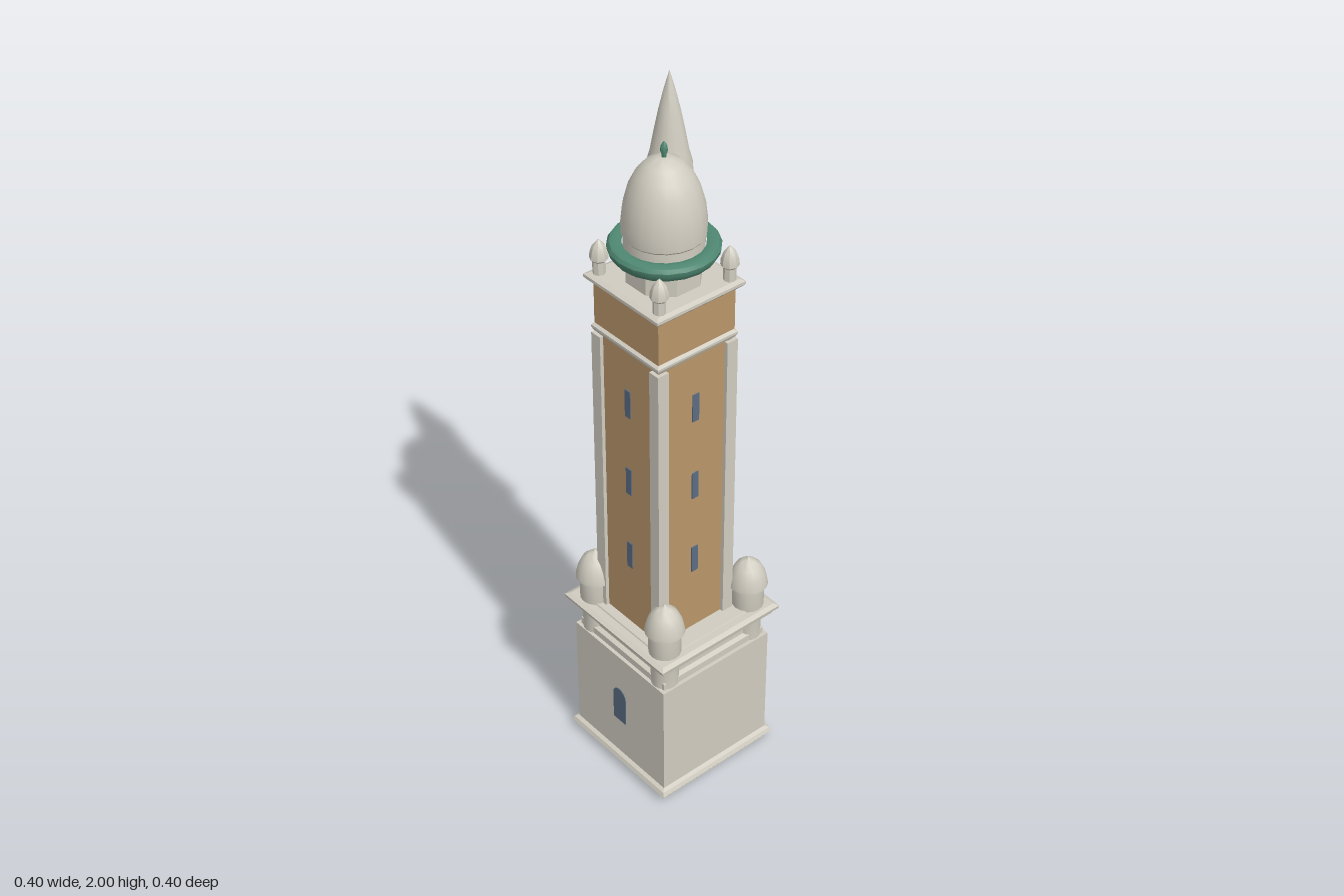
import * as THREE from 'three';
import { toCreasedNormals } from 'three/addons/utils/BufferGeometryUtils.js';

const mat = (name, color) => {
  const m = new THREE.MeshStandardMaterial({ color });
  m.name = name;
  return m;
};

export function createModel() {
  const stone = mat('pale stone', 0xd0ccc0);
  const ochre = mat('ochre brick', 0xb9966a);
  const green = mat('green copper', 0x4f8872);
  const glass = mat('blue grey glass', 0x5a6c82);
  const root = new THREE.Group();
  root.name = 'tower';

  const add = (parent, name, geo, material, x = 0, y = 0, z = 0) => {
    const m = new THREE.Mesh(geo, material);
    m.name = name;
    m.position.set(x, y, z);
    parent.add(m);
    return m;
  };
  const pts = (p) => p.map(([r, y]) => new THREE.Vector2(r, y));
  // square moulding from a profile of [half width, y]
  const square = (p) => {
    const g = new THREE.LatheGeometry(pts(p.map(([h, y]) => [h * Math.SQRT2, y])), 4, Math.PI / 4).toNonIndexed();
    g.computeVertexNormals();
    return g;
  };
  // round part from a profile of [radius, y]
  const round = (p, sides) => toCreasedNormals(new THREE.LatheGeometry(pts(p), sides), 0.6);
  const box = (w, h, d) => new THREE.BoxGeometry(w, h, d);

  // Square base with plinth moulding, stepped neck and cornice
  add(root, 'base', square([[0, 0], [0.182, 0], [0.182, 0.39], [0, 0.39]]), stone);
  add(root, 'plinthMoulding', square([[0.18, 0.012], [0.19, 0.015], [0.197, 0.025], [0.192, 0.036], [0.18, 0.042]]), stone);
  add(root, 'neck', square([[0.172, 0.385], [0.172, 0.41], [0.16, 0.415], [0.16, 0.46]]), stone);
  add(root, 'baseCornice', square([[0, 0.452], [0.172, 0.452], [0.188, 0.462], [0.19, 0.474], [0.2, 0.48],
    [0.202, 0.49], [0.19, 0.496], [0.17, 0.496], [0.168, 0.5], [0, 0.5]]), stone);

  // Arched windows on the front, back and left of the base
  const arch = new THREE.Shape();
  arch.moveTo(-0.025, 0);
  arch.lineTo(0.025, 0);
  arch.lineTo(0.025, 0.09);
  arch.absarc(0, 0.09, 0.025, 0, Math.PI, false);
  arch.closePath();
  const archGeo = new THREE.ExtrudeGeometry(arch, { depth: 0.006, bevelEnabled: false, curveSegments: 6 });
  for (const a of [0, Math.PI, -Math.PI / 2]) {
    const w = add(root, 'baseWindow', archGeo, glass, Math.sin(a) * 0.178, 0.16, Math.cos(a) * 0.178);
    w.rotation.y = a;
  }

  // Domed corner turrets on three corners of the base
  const turretGeo = round([[0, 0.385], [0.037, 0.385], [0.037, 0.46], [0.043, 0.49], [0.043, 0.56], [0.053, 0.566],
    [0.052, 0.575], [0.046, 0.6], [0.034, 0.625], [0.018, 0.64], [0.007, 0.645], [0, 0.655]], 16);
  for (const [x, z] of [[1, 1], [-1, 1], [1, -1]]) {
    add(root, 'cornerTurret', turretGeo, stone, x * 0.141, 0, z * 0.143);
  }

  // Upper tower, centred a little forward of the base
  const tower = new THREE.Group();
  tower.name = 'upperTower';
  tower.position.set(0.005, 0, 0.027);
  root.add(tower);
  add(tower, 'shaft', box(0.23, 0.87, 0.23), ochre, 0, 0.93, 0);
  for (const x of [-1, 1]) for (const z of [-1, 1]) {
    add(tower, 'cornerPilaster', box(0.033, 0.865, 0.033), stone, x * 0.1085, 0.9275, z * 0.1085);
  }
  for (let i = 0; i < 4; i++) {
    const a = i * Math.PI / 2;
    for (const y of [0.73, 0.97, 1.21]) {
      const w = add(tower, 'shaftWindow', box(0.02, 0.08, 0.006), glass, Math.sin(a) * 0.115, y, Math.cos(a) * 0.115);
      w.rotation.y = a;
    }
  }
  add(tower, 'lowerCornice', square([[0, 1.36], [0.114, 1.36], [0.12, 1.366], [0.125, 1.376], [0.125, 1.382],
    [0.116, 1.388], [0.116, 1.392], [0, 1.392]]), stone);
  add(tower, 'upperStorey', box(0.238, 0.12, 0.238), ochre, 0, 1.449, 0);
  add(tower, 'upperCornice', square([[0, 1.505], [0.121, 1.505], [0.13, 1.511], [0.136, 1.518], [0.136, 1.526],
    [0.125, 1.531], [0, 1.531]]), stone);

  // Octagonal lantern, copper collar, dome and finial
  const lantern = new THREE.CylinderGeometry(0.095, 0.095, 0.08, 8, 1, false, Math.PI / 8).toNonIndexed();
  lantern.computeVertexNormals();
  add(tower, 'lantern', lantern, stone, 0, 1.565, 0);
  add(tower, 'copperCollar', round([[0.088, 1.59], [0.11, 1.588], [0.125, 1.597], [0.134, 1.611], [0.136, 1.622],
    [0.13, 1.631], [0.118, 1.635], [0.1, 1.63]], 20), green);
  add(tower, 'dome', round([[0.097, 1.62], [0.097, 1.65], [0.101, 1.655], [0.102, 1.685], [0.097, 1.73], [0.085, 1.775],
    [0.068, 1.81], [0.045, 1.837], [0.02, 1.85], [0, 1.854]], 20), stone);
  add(tower, 'finial', round([[0.006, 1.845], [0.006, 1.86], [0.009, 1.868], [0.008, 1.88], [0.004, 1.888], [0, 1.893]], 8), green);

  // Small pinnacles around the lantern
  const pinnacleGeo = round([[0.016, 1.53], [0.016, 1.565], [0.023, 1.572], [0.022, 1.587], [0.016, 1.606],
    [0.007, 1.617], [0, 1.624]], 8);
  for (const [x, z] of [[1, 1], [-1, 1], [1, -1]]) {
    add(tower, 'pinnacle', pinnacleGeo, stone, x * 0.11, 0, z * 0.108);
  }

  // Round stair turret rising at the back left corner
  const stair = new THREE.Group();
  stair.name = 'stairTurret';
  stair.position.set(-0.09, 0, -0.07);
  root.add(stair);
  add(stair, 'stairShaft', round([[0.048, 0.495], [0.048, 1.745]], 14), stone);
  add(stair, 'spire', round([[0.046, 1.735], [0.057, 1.745], [0.056, 1.757], [0.047, 1.79], [0.038, 1.84], [0.027, 1.895],
    [0.014, 1.95], [0, 2]], 14), stone);
  const onStair = (name, a, y, geo, material, r) => {
    const m = add(stair, name, geo, material, Math.sin(a) * r, y, Math.cos(a) * r);
    m.rotation.y = a;
  };
  const outward = -Math.PI / 2 - 0.5;
  for (let i = 0; i < 6; i++) {
    onStair('stairWindow', outward, 0.61 + i * 0.195, box(0.018, 0.05, 0.006), glass, 0.047);
  }
  onStair('stairLedge', outward, 1.55, box(0.024, 0.01, 0.02), stone, 0.05);
  for (let i = 0; i < 6; i++) {
    onStair('topWindow', -0.57 + i * Math.PI / 3, 1.68, box(0.018, 0.04, 0.006), glass, 0.047);
  }
  return root;
}
